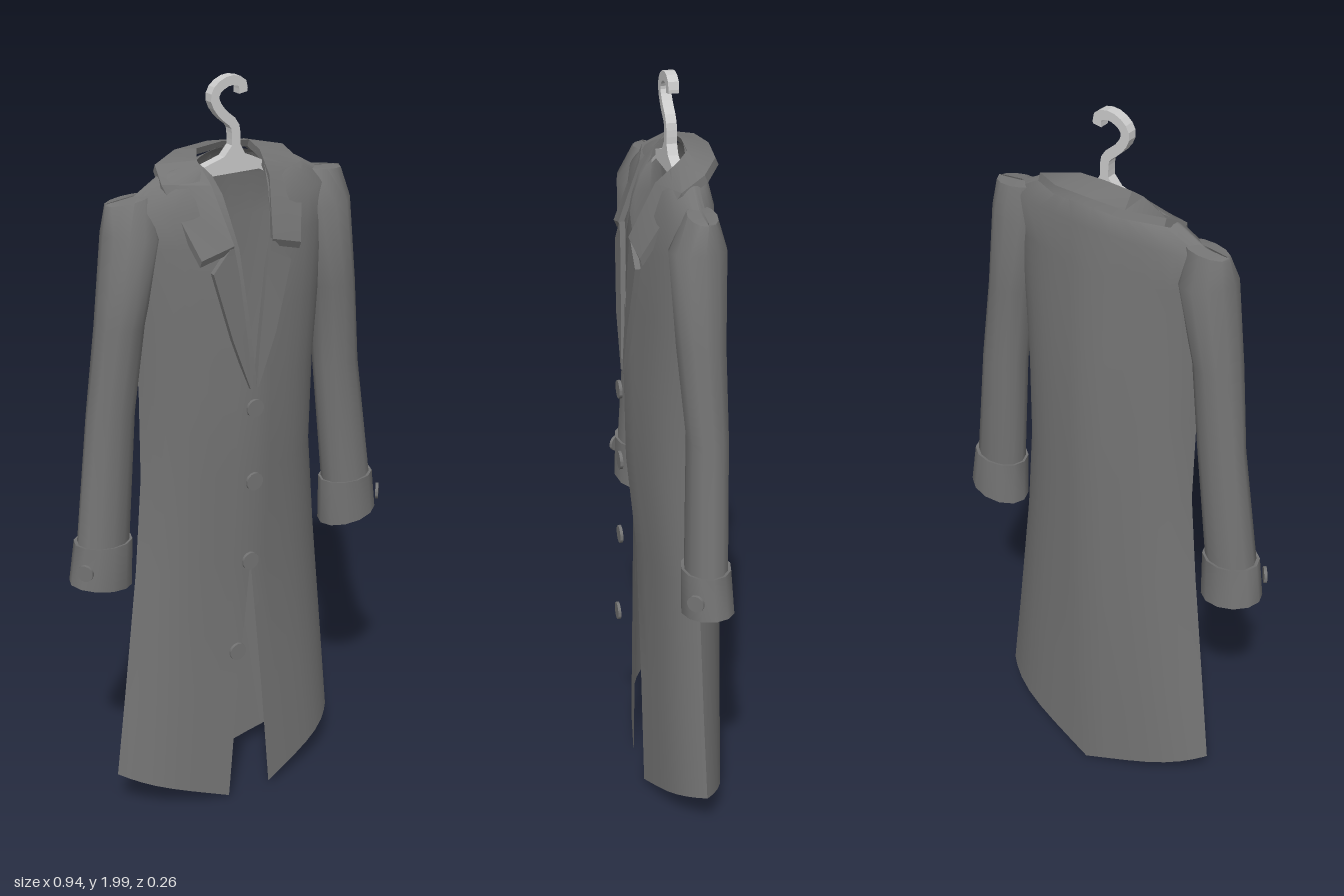
import * as THREE from 'three';
import { toCreasedNormals } from 'three/addons/utils/BufferGeometryUtils.js';

const cloth = new THREE.MeshStandardMaterial({ color: 0x747474, side: THREE.DoubleSide });
const metal = new THREE.MeshStandardMaterial({ color: 0xcccccc });

// Skin a list of cross-sections, each a list of [x, y, z]
function loft(rings, closed, crease = 0.7) {
  const n = rings[0].length, index = [];
  for (let r = 0; r < rings.length - 1; r++) {
    for (let i = 0; i < (closed ? n : n - 1); i++) {
      const a = r * n + i, b = r * n + (i + 1) % n;
      index.push(a, b, b + n, a, b + n, a + n);
    }
  }
  const geo = new THREE.BufferGeometry();
  geo.setAttribute('position', new THREE.Float32BufferAttribute(rings.flat(2), 3));
  geo.setIndex(index);
  return toCreasedNormals(geo, crease);
}

function add(parent, name, geo, mat = cloth) {
  const mesh = new THREE.Mesh(geo, mat);
  mesh.name = name;
  parent.add(mesh);
  return mesh;
}

// Coat section, open at the front: left front edge, side, back, side, right front edge
function coatRing([fx, fy, fz, sx, sy, sz, by, bz]) {
  const steps = 8, overlap = 0.01;
  const bulge = t => 1 - 0.45 * t - 0.55 * t ** 5;
  const quarter = (x0, y0, z0, t) =>
    [x0 + (sx - x0) * t, y0 + (sy - y0) * t, sz + (z0 - sz) * bulge(t)];
  const half = side => {
    const pts = [];
    for (let i = 0; i <= steps; i++)
      pts.push(quarter(fx + side * overlap, fy, fz, Math.sin(i / steps * Math.PI / 2)));
    for (let i = steps - 1; i >= 0; i--)
      pts.push(quarter(0, by, bz, Math.sin(i / steps * Math.PI / 2)));
    return pts.map(([x, y, z]) => [side * x, y, z]);
  };
  return [...half(-1).reverse().slice(1).reverse(), ...half(1).reverse()];
}

// Sleeve section between an inner and an outer point, with depth centre and half depth
function sleeveRing([xi, yi, xo, yo, zc, hz]) {
  return Array.from({ length: 12 }, (_, i) => {
    const a = -i / 12 * Math.PI * 2, u = (1 + Math.cos(a)) / 2;
    return [xi + (xo - xi) * u, yi + (yo - yi) * u, zc + hz * Math.sin(a)];
  });
}

// Thick folded strip between an inner and an outer edge
function fold(pairs, drop) {
  const under = p => p.map((v, k) => v + drop[k]);
  const rings = pairs.map(([a, b]) => [a, b, under(b), under(a)]);
  const mid = r => r.map(() => [0, 1, 2].map(k => (r[0][k] + r[2][k]) / 2));
  return loft([mid(rings[0]), ...rings, mid(rings.at(-1))], true, 0.6);
}
const flip = ([x, y, z]) => [-x, y, z];

function button(parent, name, x, y, z, turn, r = 0.024) {
  const geo = new THREE.CylinderGeometry(r, r, 0.008, 14).rotateX(Math.PI / 2);
  const mesh = add(parent, name, toCreasedNormals(geo, 0.7));
  mesh.position.set(x, y, z);
  mesh.rotation.y = turn;
}

function buildHanger() {
  const hanger = new THREE.Group();
  hanger.name = 'hanger';
  const flat = shape => new THREE.ExtrudeGeometry(shape,
    { depth: 0.026, bevelEnabled: false, curveSegments: 6 }).translate(0, 0, -0.013);
  // Hook outlined at an even width around its centre line
  const line = new THREE.SplineCurve([[0.034, 1.955], [0.03, 1.98], [-0.003, 1.988], [-0.036, 1.972],
    [-0.045, 1.945], [-0.025, 1.912], [0.008, 1.882], [0.014, 1.85], [0.014, 1.805]]
    .map(p => new THREE.Vector2(...p)));
  const edge = s => Array.from({ length: 19 }, (_, i) => {
    const t = line.getTangent(i / 18);
    return line.getPoint(i / 18).add(new THREE.Vector2(-t.y, t.x).multiplyScalar(s * 0.012));
  });
  add(hanger, 'hook', flat(new THREE.Shape([...edge(1), ...edge(-1).reverse()])), metal);
  // Sloping arms
  const arms = [[0.026, 1.83], [0.04, 1.805], [0.085, 1.785], [0.13, 1.755], [0.13, 1.735], [0.08, 1.762],
    [-0.08, 1.762], [-0.13, 1.735], [-0.13, 1.755], [-0.085, 1.785], [-0.02, 1.805], [0.002, 1.83]];
  add(hanger, 'hangerArms', flat(new THREE.Shape(arms.map(p => new THREE.Vector2(...p)))), metal);
  return hanger;
}

function buildSleeve() {
  const sleeve = new THREE.Group();
  add(sleeve, 'sleeveTube', loft([
    [0.22, 1.745, 0.335, 1.732, -0.01, 0.003],
    [0.215, 1.74, 0.337, 1.728, -0.01, 0.035],
    [0.2, 1.64, 0.35, 1.66, 0, 0.07],
    [0.25, 1.43, 0.375, 1.43, 0, 0.061],
    [0.275, 1.2, 0.402, 1.2, -0.01, 0.052],
    [0.305, 0.85, 0.445, 0.86, 0, 0.054],
  ].map(sleeveRing), true, 0.9));
  // Turned-back cuff with an open end
  add(sleeve, 'cuff', loft([
    [0.31, 0.86, 0.44, 0.865, 0, 0.052],
    [0.297, 0.862, 0.453, 0.868, 0, 0.062],
    [0.3, 0.73, 0.468, 0.757, -0.003, 0.066],
    [0.31, 0.731, 0.458, 0.755, -0.003, 0.056],
    [0.31, 0.82, 0.445, 0.83, 0, 0.05],
  ].map(sleeveRing), true));
  button(sleeve, 'cuffButton', 0.452, 0.808, 0.045, 0.9, 0.022);
  return sleeve;
}

export function createModel() {
  const coat = new THREE.Group();
  coat.name = 'coatOnHanger';

  // Body from hem to neck: front edge xyz, side xyz, back y and z
  add(coat, 'coatBody', loft([
    [0.065, 0.02, 0.09, 0.342, 0.13, -0.02, 0.01, -0.127],
    [0.038, 0.35, 0.09, 0.315, 0.38, -0.015, 0.35, -0.128],
    [0, 0.74, 0.092, 0.277, 0.74, -0.01, 0.74, -0.13],
    [0, 1.0, 0.117, 0.257, 1.0, -0.01, 1.0, -0.128],
    [0, 1.24, 0.12, 0.26, 1.24, -0.005, 1.22, -0.126],
    [0.02, 1.43, 0.11, 0.272, 1.43, 0, 1.42, -0.115],
    [0.042, 1.6, 0.1, 0.29, 1.62, 0, 1.62, -0.1],
    [0.058, 1.68, 0.08, 0.305, 1.715, -0.005, 1.73, -0.09],
    [0.065, 1.73, 0.06, 0.2, 1.775, -0.01, 1.79, -0.08],
    [0.075, 1.77, 0.03, 0.09, 1.8, -0.005, 1.82, -0.035],
  ].map(coatRing), false, 0.9));

  // Collar around the neck, ending in two front points
  const collar = [
    [[0, 1.832, -0.03], [0, 1.818, -0.098]],
    [[0.075, 1.826, -0.025], [0.1, 1.812, -0.088]],
    [[0.09, 1.805, 0], [0.183, 1.798, -0.04]],
    [[0.083, 1.755, 0.055], [0.2, 1.765, 0.02]],
    [[0.055, 1.615, 0.115], [0.143, 1.59, 0.108]],
  ];
  const otherSide = collar.slice(1).reverse().map(p => p.map(flip));
  add(coat, 'collar', fold([...otherSide, ...collar], [0, -0.018, -0.008]));

  // Lapels
  const lapel = [
    [[0.055, 1.615, 0.112], [0.06, 1.612, 0.112]],
    [[0.04, 1.54, 0.114], [0.112, 1.552, 0.112]],
    [[0.02, 1.38, 0.119], [0.063, 1.376, 0.122]],
    [[0.005, 1.24, 0.123], [0.012, 1.238, 0.123]],
  ];
  add(coat, 'leftLapel', fold(lapel, [0, 0, -0.014]));
  add(coat, 'rightLapel', fold(lapel.map(p => p.map(flip)), [0, 0, -0.014]));

  // Front buttons
  for (const [x, y] of [[-0.003, 1.187], [-0.004, 0.985], [-0.015, 0.76], [-0.053, 0.5]])
    button(coat, 'frontButton', x, y, 0.13, 0);

  // Sleeves
  for (const side of [1, -1]) {
    const sleeve = buildSleeve();
    sleeve.name = side > 0 ? 'leftSleeve' : 'rightSleeve';
    sleeve.scale.x = side;
    coat.add(sleeve);
  }

  coat.add(buildHanger());
  return coat;
}
